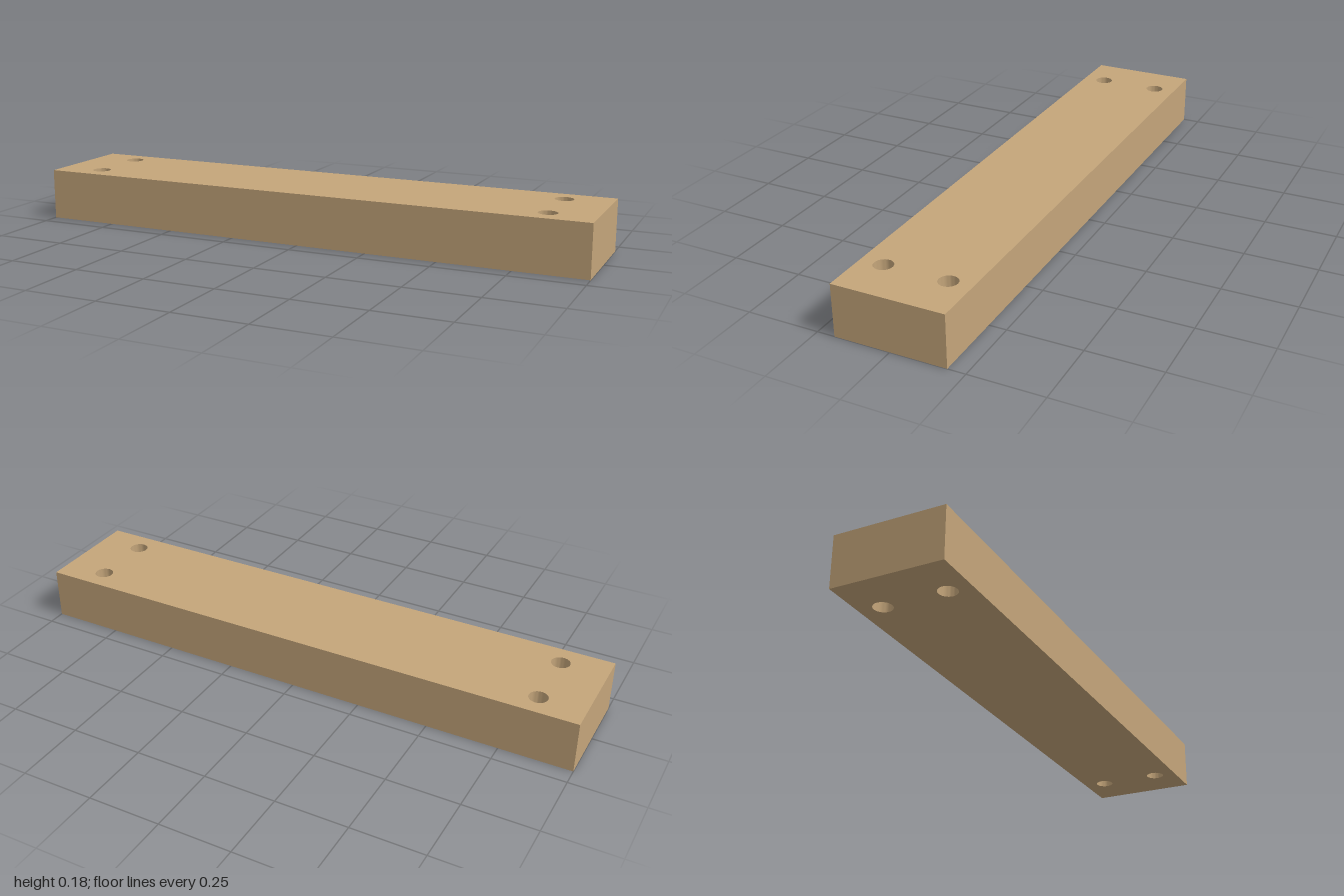
import * as THREE from 'three';
import { toCreasedNormals } from 'three/addons/utils/BufferGeometryUtils.js';

const LENGTH = 2, DEPTH = 0.38, HEIGHT = 0.18;
const HOLE_X = 0.84, HOLE_Z = 0.11, HOLE_R = 0.032;

export function createModel() {
  const group = new THREE.Group();
  group.name = 'drilledBar';

  // Plan outline of the bar
  const x = LENGTH / 2, z = DEPTH / 2;
  const outline = new THREE.Shape([
    new THREE.Vector2(-x, -z),
    new THREE.Vector2(x, -z),
    new THREE.Vector2(x, z),
    new THREE.Vector2(-x, z),
  ]);

  // Four through holes, a pair near each end
  for (const sx of [-1, 1]) {
    for (const sz of [-1, 1]) {
      const hole = new THREE.Path();
      hole.absarc(sx * HOLE_X, sz * HOLE_Z, HOLE_R, 0, Math.PI * 2, true);
      outline.holes.push(hole);
    }
  }

  // Extrude upward; smooth hole walls, sharp edges
  const extruded = new THREE.ExtrudeGeometry(outline, {
    depth: HEIGHT, bevelEnabled: false, curveSegments: 16,
  });
  extruded.rotateX(-Math.PI / 2);
  const geometry = toCreasedNormals(extruded, 0.6);

  const bar = new THREE.Mesh(geometry, new THREE.MeshStandardMaterial({ color: 0xc4a57a }));
  bar.name = 'bar';
  group.add(bar);
  return group;
}
